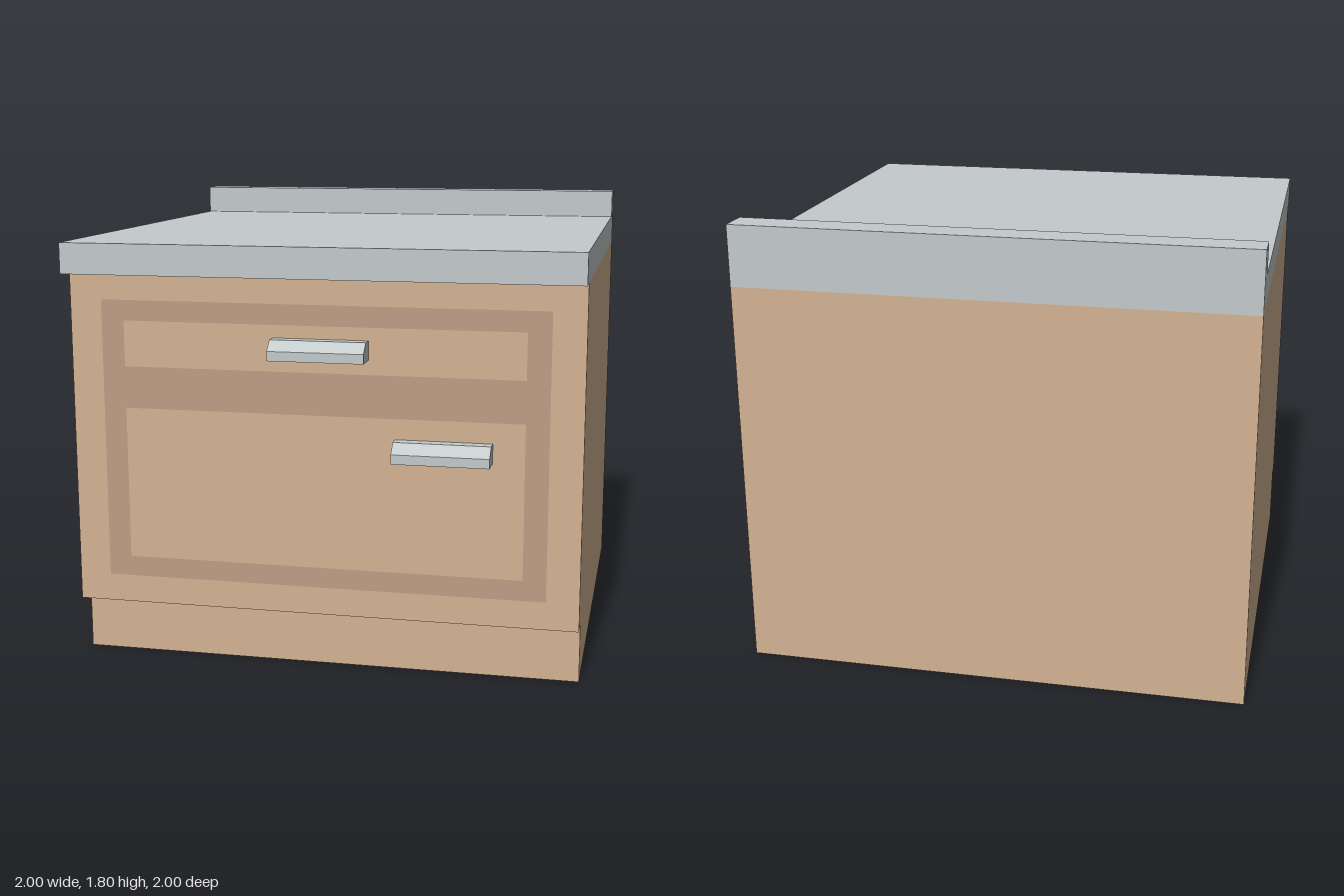
import * as THREE from 'three';

const wood = new THREE.MeshStandardMaterial({ color: 0xd3b394 });
const darkWood = new THREE.MeshStandardMaterial({ color: 0xbe9f86 });
const stone = new THREE.MeshStandardMaterial({ color: 0xc4cbcc });

const toShape = (points) => new THREE.Shape(points.map(([a, b]) => new THREE.Vector2(a, b)));
const rect = (x0, y0, x1, y1) => [[x0, y0], [x1, y0], [x1, y1], [x0, y1]];

// Sweeps a side profile of [z, y] points along x, from x0 to x1
function sweepX(name, profile, x0, x1, material) {
  const geometry = new THREE.ExtrudeGeometry(toShape(profile), { depth: x1 - x0, bevelEnabled: false });
  geometry.rotateY(-Math.PI / 2).translate(x1, 0, 0);
  const mesh = new THREE.Mesh(geometry, material);
  mesh.name = name;
  return mesh;
}

export function createModel() {
  const model = new THREE.Group();
  model.name = 'kitchenCabinet';

  // Cabinet body with a recessed toe kick
  model.add(sweepX('cabinetBody',
    [[-1, 0], [0.82, 0], [0.82, 0.235], [0.91, 0.235], [0.91, 1.56], [-1, 1.56]], -1, 1, wood));

  // Countertop with a raised backsplash
  model.add(sweepX('countertop',
    [[-1, 1.56], [1, 1.56], [1, 1.68], [-0.87, 1.68], [-0.87, 1.8], [-1, 1.8]], -1, 1, stone));

  // Flat dark inlay framing the drawer and the door
  const inlay = toShape(rect(-0.873, 0.345, 0.873, 1.455));
  for (const [bottom, top] of [[0.425, 1.03], [1.195, 1.375]]) {
    inlay.holes.push(toShape(rect(-0.783, bottom, 0.783, top)));
  }
  const frame = new THREE.Mesh(new THREE.ShapeGeometry(inlay), darkWood);
  frame.name = 'frontInlay';
  frame.position.z = 0.912;
  model.add(frame);

  // Handles with a chamfered upper front edge
  const handles = [['drawerHandle', 0, 1.25], ['doorHandle', 0.475, 0.875]];
  for (const [name, x, y] of handles) {
    const profile = [[0.91, 0], [1, 0], [1, 0.037], [0.957, 0.075], [0.91, 0.075]];
    const handle = sweepX(name, profile, -0.186, 0.186, stone);
    handle.position.set(x, y, 0);
    model.add(handle);
  }
  return model;
}
